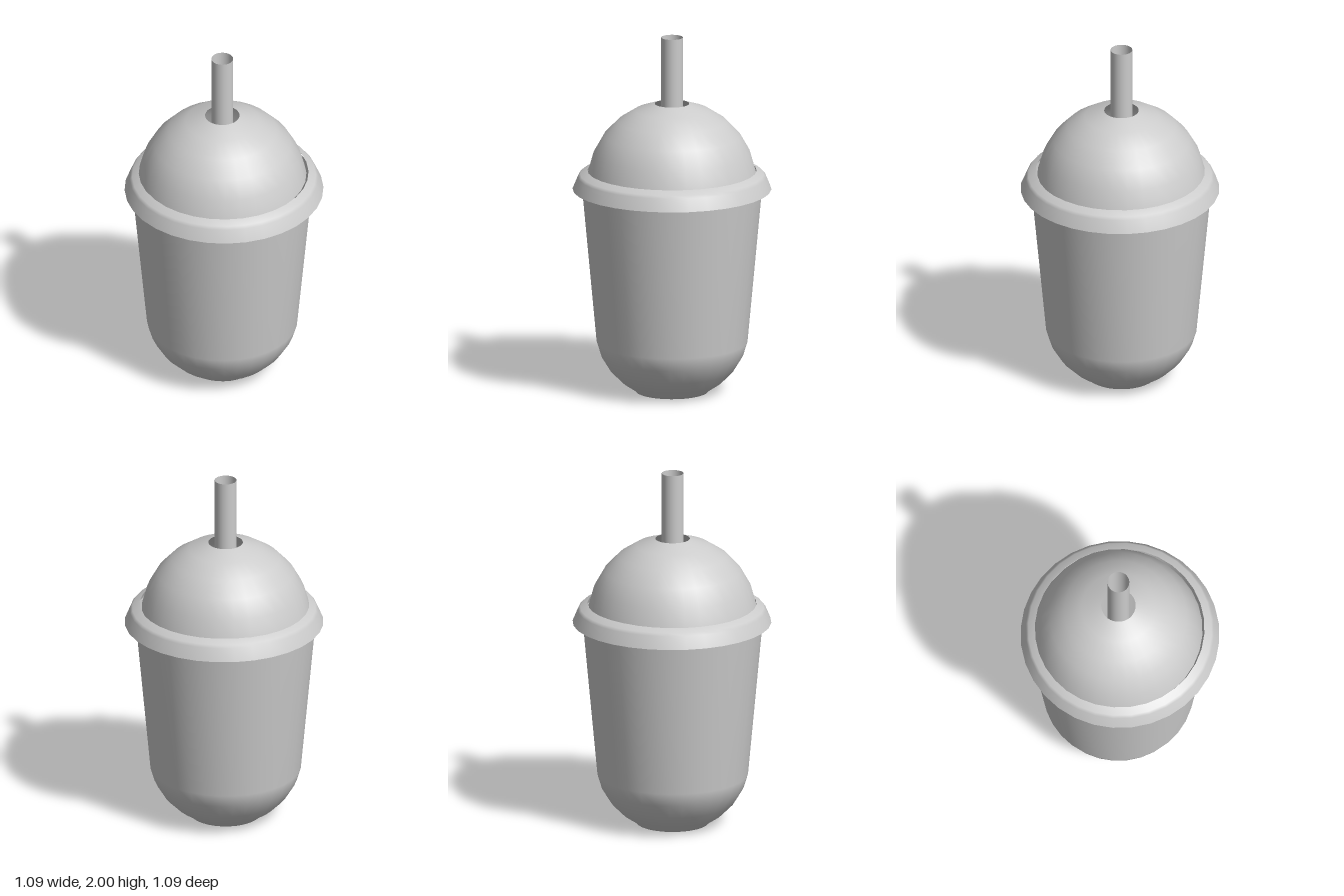
import * as THREE from 'three';

const SIDES = 32;

export function createModel() {
  const group = new THREE.Group();
  const material = new THREE.MeshStandardMaterial({ color: 0xcccccc, side: THREE.DoubleSide });

  const add = (name, geometry, x) => {
    const mesh = new THREE.Mesh(geometry, material);
    mesh.name = name;
    mesh.position.x = x;
    group.add(mesh);
    return mesh;
  };
  const lathe = (profile) =>
    new THREE.LatheGeometry(profile.map(([r, y]) => new THREE.Vector2(r, y)), SIDES);

  // Tapered cup with a rounded base, open at the top
  add('cup', lathe([
    [0, 0], [0.2, 0], [0.21, 0.012], [0.275, 0.055], [0.34, 0.12],
    [0.392, 0.205], [0.415, 0.28], [0.495, 1.145], [0.5, 1.2],
  ]), -0.01);

  // Flared lid rim that overhangs the cup
  add('lidRim', lathe([
    [0.547, 1.145], [0.518, 1.215], [0.505, 1.23], [0.465, 1.25],
  ]), 0);

  // Domed lid with a round straw hole at its top
  const dome = [];
  const radius = 0.468, centreY = 1.167;
  const start = 0.15, end = Math.acos(0.095 / radius);
  for (let i = 0; i <= 5; i++) {
    const a = start + (end - start) * i / 5;
    dome.push([radius * Math.cos(a), centreY + radius * Math.sin(a)]);
  }
  add('lidDome', lathe(dome), -0.01);

  // Hollow straw reaching down into the cup
  const bottom = 0.15, top = 2;
  const straw = add('straw',
    new THREE.CylinderGeometry(0.06, 0.06, top - bottom, SIDES, 1, true), -0.01);
  straw.position.y = (top + bottom) / 2;

  return group;
}
